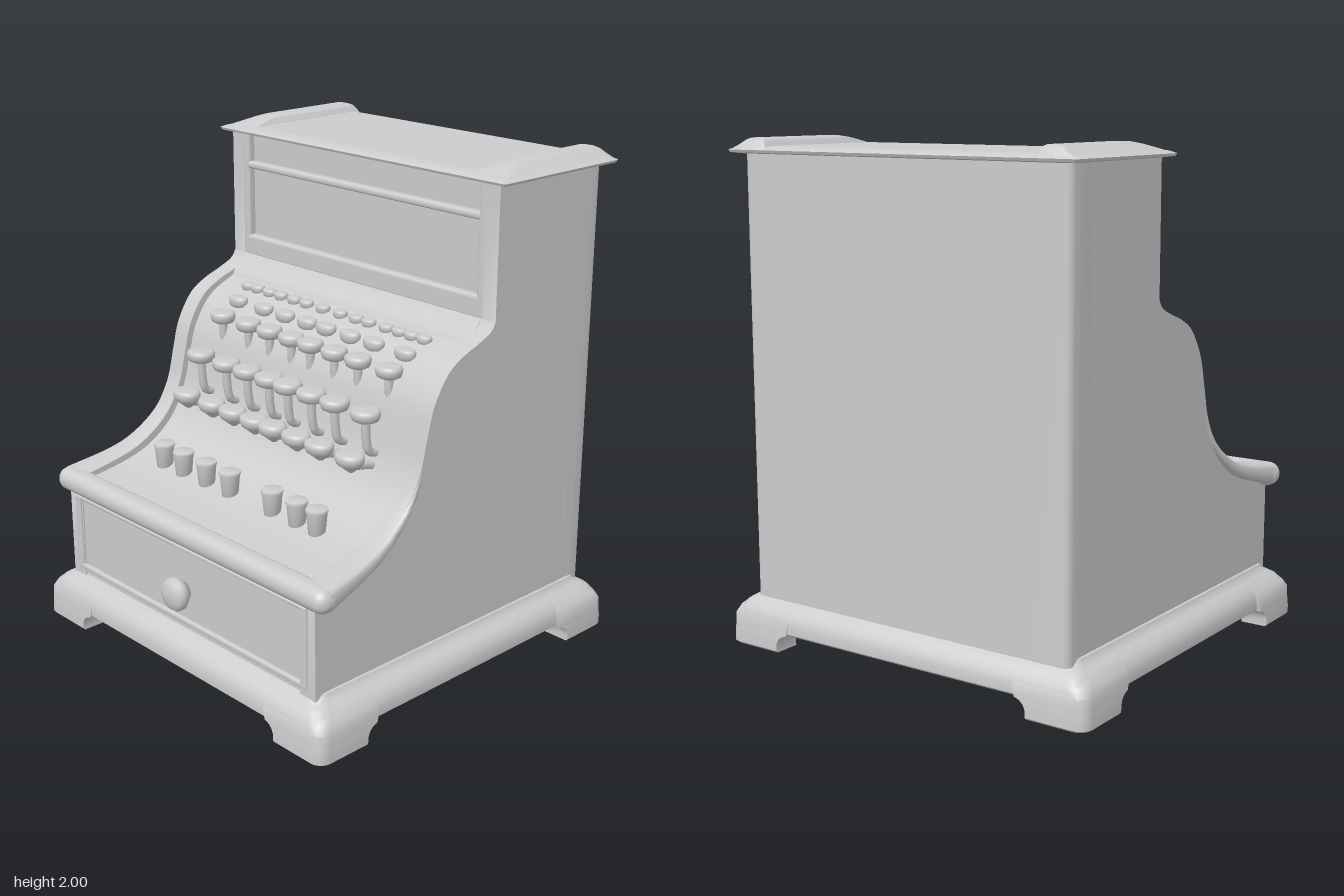
import * as THREE from 'three';
import { toCreasedNormals } from 'three/addons/utils/BufferGeometryUtils.js';
import { RoundedBoxGeometry } from 'three/addons/geometries/RoundedBoxGeometry.js';

const V = (x, y, z) => new THREE.Vector3(x, y, z);

// Skin over rings of equal length, with fan caps from the first point of each end
function loft(rings, crease = 0.6) {
  const n = rings[0].length, pos = [], idx = [];
  rings.forEach(r => r.forEach(p => pos.push(p.x, p.y, p.z)));
  for (let i = 0; i < rings.length - 1; i++) {
    for (let j = 0; j < n; j++) {
      const a = i * n + j, b = i * n + (j + 1) % n;
      idx.push(a, b, b + n, a, b + n, a + n);
    }
  }
  const top = (rings.length - 1) * n;
  for (let j = 1; j < n - 1; j++) idx.push(0, j + 1, j, top, top + j, top + j + 1);
  const g = new THREE.BufferGeometry();
  g.setAttribute('position', new THREE.Float32BufferAttribute(pos, 3));
  g.setIndex(idx);
  return toCreasedNormals(g, crease);
}

// Horizontal rounded rectangle, counter-clockwise from above
function rectRing(y, x0, x1, z0, z1, r) {
  const pts = [];
  const corners = [[x1 - r, z0 + r], [x0 + r, z0 + r], [x0 + r, z1 - r], [x1 - r, z1 - r]];
  corners.forEach(([cx, cz], k) => {
    for (let i = 0; i <= 4; i++) {
      const a = (k + i / 4) * Math.PI / 2;
      pts.push(V(cx + r * Math.cos(a), y, cz - r * Math.sin(a)));
    }
  });
  return pts;
}

function rectPath(shape, x, y0, y1) {
  return shape.moveTo(-x, y0).lineTo(x, y0).lineTo(x, y1).lineTo(-x, y1).closePath();
}

// Smooth curve through (z, y) points
const curveOf = pts => new THREE.SplineCurve(pts.map(p => new THREE.Vector2(...p)));

// Side outline extruded across x
function slab(points, width, x) {
  const g = new THREE.ExtrudeGeometry(new THREE.Shape(points), { depth: width, bevelEnabled: false });
  g.rotateY(-Math.PI / 2).translate(x + width / 2, 0, 0);
  return toCreasedNormals(g, 0.6);
}

export function createModel() {
  const model = new THREE.Group();
  const grey = new THREE.MeshStandardMaterial({ color: 0xcccccc });
  grey.name = 'plain grey';
  const add = (name, geo, x = 0, y = 0, z = 0) => {
    const m = new THREE.Mesh(geo, grey);
    m.name = name;
    m.position.set(x, y, z);
    model.add(m);
    return m;
  };
  const v2 = (z, y) => new THREE.Vector2(z, y);

  // Cabinet sides with the S-shaped front edge
  const edge = curveOf([[-0.17, 1.43], [-0.145, 1.395], [-0.08, 1.365], [0, 1.335], [0.08, 1.285],
    [0.15, 1.18], [0.185, 1.06], [0.22, 0.93], [0.29, 0.815], [0.4, 0.73], [0.52, 0.685], [0.72, 0.65]]);
  const sideOutline = [v2(-0.7, 0.2), v2(0.74, 0.2), v2(0.74, 0.62), ...edge.getPoints(50).reverse(),
    v2(-0.17, 1.95), v2(-0.7, 1.95)];
  for (const s of [-1, 1]) add('sidePanel', slab(sideOutline, 0.08, s * 0.7));

  // Back with rounded upright corners
  add('backPanel', loft([0.2, 1.95].map(y => rectRing(y, -0.74, 0.74, -0.76, -0.6, 0.03))));

  // Middle of the cabinet with the shallow sunken keyboard
  const floor = curveOf([[-0.085, 1.345], [0, 1.308], [0.065, 1.258], [0.125, 1.165], [0.16, 1.05],
    [0.195, 0.92], [0.265, 0.795], [0.38, 0.705], [0.51, 0.66], [0.69, 0.632]]);
  add('cabinetCore', slab([v2(-0.7, 0.2), v2(0.735, 0.2), v2(0.735, 0.6), ...floor.getPoints(40).reverse(),
    v2(-0.1, 1.372), v2(-0.145, 1.395), v2(-0.17, 1.43), v2(-0.2, 1.44), v2(-0.2, 1.95), v2(-0.7, 1.95)], 1.34, 0));

  // Framed panels: display at the top, drawer at the bottom
  const frame = (name, outer, holes, z, depth, bevel) => {
    const shape = rectPath(new THREE.Shape(), ...outer);
    holes.forEach(h => shape.holes.push(rectPath(new THREE.Path(), ...h)));
    add(name, new THREE.ExtrudeGeometry(shape, {
      depth: depth - bevel, bevelThickness: bevel, bevelSize: bevel, bevelOffset: -bevel, bevelSegments: 3,
    }), 0, 0, z);
  };
  frame('displayFrame', [0.68, 1.42, 1.95], [[0.64, 1.51, 1.795], [0.64, 1.825, 1.935]], -0.2, 0.032, 0.012);
  frame('drawerFront', [0.7, 0.235, 0.565], [[0.665, 0.258, 0.548]], 0.73, 0.02, 0.008);

  // Drawer knob
  const knob = new THREE.LatheGeometry([[0, 0], [0.035, 0], [0.035, 0.018], [0.056, 0.026], [0.066, 0.04],
    [0.067, 0.06], [0.056, 0.075], [0.03, 0.084], [0, 0.086]].map(p => v2(...p)), 32);
  add('drawerKnob', knob.rotateX(Math.PI / 2), 0, 0.375, 0.733);

  // Rounded front lip, with rims that flare out along the sides
  add('frontLip', new RoundedBoxGeometry(1.61, 0.096, 0.105, 5, 0.046), 0, 0.609, 0.719);
  for (const s of [-1, 1]) {
    const rings = [];
    for (let i = 0; i <= 30; i++) {
      const t = 0.6 + 0.4 * i / 30, p = edge.getPoint(t), d = edge.getTangent(t);
      const k = THREE.MathUtils.clamp((p.x - 0.2) / 0.53, 0, 1);
      const half = 0.01 + 0.035 * k, xi = 0.662, xo = 0.739 + 0.065 * k;
      const ring = [];
      for (let j = 0; j < 20; j++) {
        const a = j / 20 * Math.PI * 2, c = Math.cos(a), q = Math.sin(a);
        const u = Math.sign(c) * Math.sqrt(Math.abs(c)), w = (Math.sign(q) * Math.sqrt(Math.abs(q)) - 1) * half + 0.006 * k;
        ring.push(V(s * ((xi + xo) / 2 + u * (xo - xi) / 2), p.y + d.x * w, p.x - d.y * w));
      }
      rings.push(s > 0 ? ring : ring.reverse());
    }
    add('sideRim', loft(rings, 0.9));
  }

  // Lid with a raised pad at each end
  const lid = [[1.94, 0.75], [1.945, 0.785], [1.955, 0.79], [1.964, 0.77], [1.97, 0.74]];
  add('lid', loft(lid.map(([y, x]) => rectRing(y, -x, x, -0.01 - x, x - 0.925, 0.015)), 0.15));
  for (const s of [-1, 1]) {
    const pad = [[1.955, 0.6, 0.785, -0.795, -0.14], [1.975, 0.612, 0.745, -0.785, -0.2], [1.992, 0.625, 0.72, -0.775, -0.27], [2, 0.64, 0.705, -0.76, -0.32]];
    add('lidPad', loft(pad.map(([y, a, b, z0, z1]) =>
      rectRing(y, s > 0 ? a : -b, s > 0 ? b : -a, z0, z1, 0.015)), 0.3));
  }

  // Base moulding
  const skirt = [[0.075, 0.812], [0.085, 0.824], [0.12, 0.825], [0.15, 0.816], [0.175, 0.798],
    [0.193, 0.772], [0.205, 0.755], [0.222, 0.748], [0.226, 0.735]];
  add('baseMoulding', loft(skirt.map(([y, x]) => rectRing(y, -x, x, 0.017 - x, x - 0.017, 0.05)), 0.7));

  // L-shaped corner feet, arms widening into the moulding
  const footRows = [[0, 0.836, 0.25], [0.008, 0.844, 0.25], [0.035, 0.844, 0.251], [0.055, 0.843, 0.26],
    [0.068, 0.842, 0.275], [0.077, 0.841, 0.3], [0.12, 0.84, 0.31], [0.15, 0.825, 0.31], [0.178, 0.796, 0.31]];
  for (const s of [-1, 1]) for (const t of [-1, 1]) {
    const rings = footRows.map(([y, X, a]) => {
      const Z = X - 0.03, r = 0.05, ring = [];
      const p = (x, z) => ring.push(V(s * x, y, t * z));
      p(0.73, 0.7);
      p(0.73, 0.825 - a);
      p(X, 0.825 - a);
      for (let i = 0; i <= 5; i++) {
        const q = i / 5 * Math.PI / 2;
        p(X - r + r * Math.cos(q), Z - r + r * Math.sin(q));
      }
      p(0.844 - a, Z);
      p(0.844 - a, 0.7);
      return s * t > 0 ? [ring[0], ...ring.slice(1).reverse()] : ring;
    });
    add('foot', loft(rings));
  }

  // Rows of mushroom keys on bent levers
  const columns = [-0.48, -0.32, -0.19, -0.06, 0.05, 0.185, 0.315, 0.48];
  const cap = new THREE.LatheGeometry([[0, -0.5], [0.65, -0.5], [0.87, -0.36], [0.98, -0.05], [1, 0.2], [0.94, 0.41], [0.78, 0.5], [0, 0.5]]
    .map(p => v2(...p)), 24);
  const rows = [ // y, z, radius, depth scale, height, lever drop, lever reach
    [0.946, 0.323, 0.064, 0.8, 0.05, 0.045, 0.08],
    [1.1, 0.243, 0.061, 0.92, 0.048, 0.15, 0.02],
    [1.242, 0.122, 0.056, 0.9, 0.048, 0.12, 0.01],
    [1.29, 0.037, 0.05, 0.64, 0.045, 0.06, 0.02],
  ];
  rows.forEach(([y, z, r, dz, h, drop, reach], row) => {
    for (const x of columns) {
      add('keyCap', cap, x, y, z).scale.set(r, h, r * dz);
      const lever = new THREE.CatmullRomCurve3([V(x, y, z), V(x, y - drop * 0.7, z - reach / 3), V(x, y - drop, z - reach), V(x, y - drop - 0.02, z - reach - 0.07)]);
      add('keyLever', new THREE.TubeGeometry(lever, 12, 0.017, 8));
      if (row === 0) add('keyCone', new THREE.CylinderGeometry(0.046, 0.01, 0.03, 20), x, 0.908, z - 0.008);
    }
  });

  // Small top row of tabs
  for (const x of [-0.51, -0.45, -0.375, -0.305, -0.225, -0.15, -0.055, 0.045, 0.135, 0.205, 0.3, 0.37, 0.435, 0.5]) {
    add('topTab', cap, x, 1.333, -0.045).scale.set(0.034, 0.034, 0.026);
  }

  // Tapered pegs in front
  const peg = new THREE.LatheGeometry([[0, 0], [0.03, 0], [0.04, 0.11], [0.044, 0.12], [0.041, 0.13], [0, 0.132]].map(p => v2(...p)), 24);
  for (const x of [-0.48, -0.355, -0.21, -0.065, 0.185, 0.325, 0.435]) add('peg', peg, x, 0.642, 0.447);

  return model;
}
